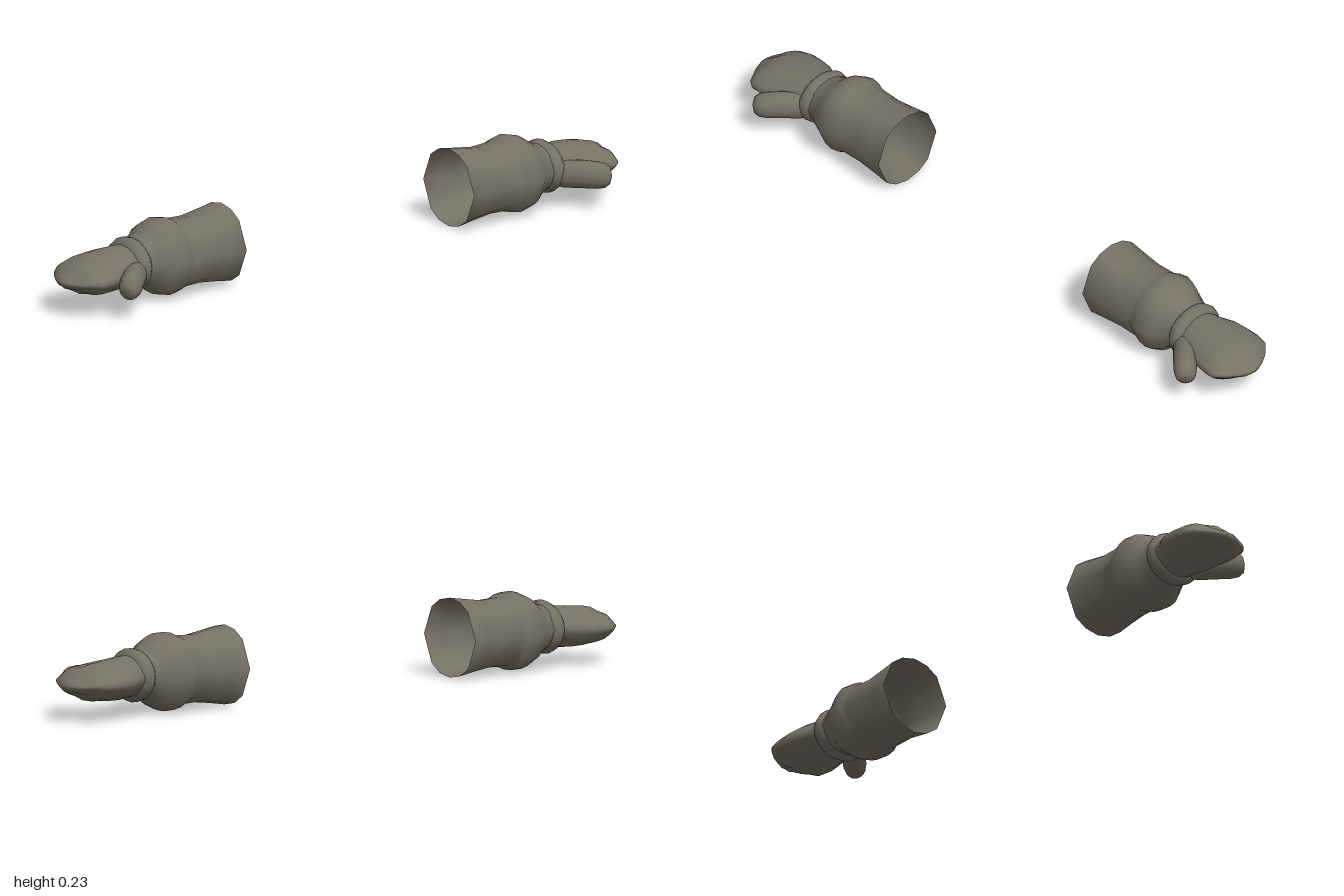
import * as THREE from 'three';

const deg = Math.PI / 180;
// Unevenly spaced corners of the cuff, and even ones for the softer parts
const CUFF = [0, 45, 67, 90, 113, 135, 180, 225, 247, 270, 293, 315].map(a => a * deg);
const ROUND = Array.from({ length: 20 }, (_, i) => i * 18 * deg);

// Skin closed sections along x: [x, yLow, yHigh, zBack, zFront, ripple]
function loft(sections, angles, lens = 1) {
  const pos = [], idx = [], n = angles.length;
  sections.forEach(([x, y0, y1, z0, z1, ripple = 0]) => {
    for (const a of angles) {
      const c = Math.cos(a), s = Math.sin(a);
      const h = Math.sign(s) * Math.pow(Math.abs(s), lens);
      const ridge = 1 + ripple * Math.cos(c * Math.PI * 3.5);
      pos.push(x, (y0 + y1) / 2 + h * ridge * (y1 - y0) / 2, (z0 + z1) / 2 + c * (z1 - z0) / 2);
    }
  });
  for (let i = 0; i < sections.length - 1; i++) {
    for (let j = 0; j < n; j++) {
      const a = i * n + j, b = i * n + (j + 1) % n;
      idx.push(a, a + n, b, b, a + n, b + n);
    }
  }
  const g = new THREE.BufferGeometry();
  g.setAttribute('position', new THREE.Float32BufferAttribute(pos, 3));
  g.setIndex(idx);
  return g;
}

// Mirror across x and turn the faces back outward
function mirror(g) {
  g.scale(-1, 1, 1);
  const idx = g.index.array;
  for (let i = 0; i < idx.length; i += 3) [idx[i], idx[i + 1]] = [idx[i + 1], idx[i]];
}

// Flared open cuff with a swollen rim near the wrist
const cuff = () => loft([
  [0.415, 0.003, 0.232, -0.143, 0.085],
  [0.47, 0.012, 0.223, -0.139, 0.082],
  [0.53, 0.02, 0.214, -0.136, 0.08],
  [0.595, 0.018, 0.217, -0.137, 0.08],
  [0.612, 0.009, 0.226, -0.143, 0.087],
  [0.64, 0.004, 0.231, -0.147, 0.09],
  [0.665, 0.01, 0.224, -0.141, 0.086],
  [0.683, 0.02, 0.214, -0.135, 0.078],
  [0.7, 0.035, 0.2, -0.122, 0.066],
  [0.725, 0.05, 0.189, -0.111, 0.055],
  [0.75, 0.052, 0.184, -0.108, 0.053],
], CUFF);

// Raised band round the wrist
const band = () => loft([
  [0.733, 0.052, 0.184, -0.107, 0.052],
  [0.741, 0.043, 0.192, -0.114, 0.06],
  [0.757, 0.04, 0.195, -0.116, 0.062],
  [0.769, 0.046, 0.188, -0.112, 0.058],
  [0.776, 0.06, 0.174, -0.103, 0.048],
], ROUND);

// Flat mitten-like hand with closed fingers
const hand = () => loft([
  [0.755, 0.058, 0.176, -0.106, 0.051],
  [0.79, 0.057, 0.176, -0.11, 0.055],
  [0.83, 0.054, 0.172, -0.132, 0.064],
  [0.87, 0.055, 0.168, -0.138, 0.074],
  [0.905, 0.058, 0.163, -0.14, 0.081, 0.03],
  [0.935, 0.065, 0.155, -0.134, 0.082, 0.06],
  [0.955, 0.077, 0.144, -0.115, 0.068, 0.1],
  [0.972, 0.085, 0.13, -0.096, 0.042, 0.12],
  [0.988, 0.09, 0.122, -0.07, 0.015, 0.12],
  [0.997, 0.097, 0.115, -0.05, -0.008],
  [1.0, 0.105, 0.107, -0.03, -0.028],
], ROUND, 1.3);

// Thumb, built along x and then swung forward
function thumb() {
  const g = loft([
    [-0.02, 0.075, 0.13, -0.02, 0.02],
    [0.02, 0.064, 0.143, -0.032, 0.03],
    [0.07, 0.063, 0.145, -0.035, 0.032],
    [0.115, 0.062, 0.141, -0.034, 0.033],
    [0.138, 0.065, 0.136, -0.031, 0.03],
    [0.152, 0.076, 0.125, -0.022, 0.021],
    [0.157, 0.099, 0.101, -0.001, 0.001],
  ], ROUND);
  g.rotateY(-42 * deg);
  g.translate(0.765, 0, 0.025);
  return g;
}

export function createModel() {
  const leather = new THREE.MeshStandardMaterial({ color: 0x777165, side: THREE.DoubleSide });
  leather.name = 'greyBrownLeather';
  const model = new THREE.Group();
  model.name = 'gloves';
  for (const side of ['left', 'right']) {
    const glove = new THREE.Group();
    glove.name = side + 'Glove';
    for (const [name, make] of Object.entries({ cuff, wristBand: band, hand, thumb })) {
      const g = make();
      if (side === 'right') mirror(g);
      g.computeVertexNormals();
      const mesh = new THREE.Mesh(g, leather);
      mesh.name = name;
      glove.add(mesh);
    }
    model.add(glove);
  }
  return model;
}
